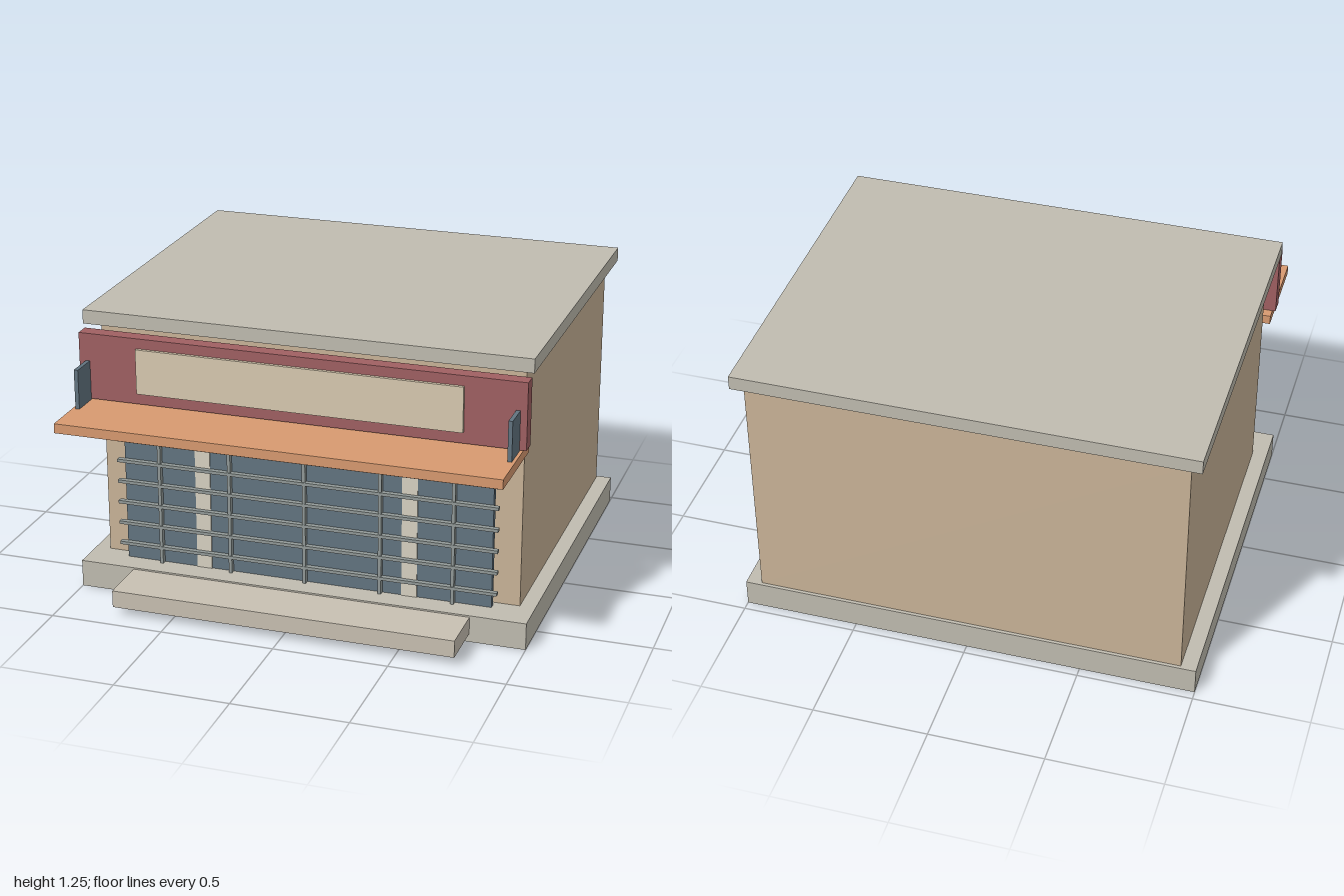
import * as THREE from 'three';

const mat = (color) => new THREE.MeshStandardMaterial({ color });

export function createModel() {
  const model = new THREE.Group();
  const stone = mat(0xc0bcb0), wall = mat(0xcab498), red = mat(0xa06062), cream = mat(0xd8cab0);
  const orange = mat(0xd89a70), slate = mat(0x627480), pale = mat(0xd8d2c2), metal = mat(0x929a98);

  // Box given by its extents along x, y and z
  const box = (name, material, [x0, x1], [y0, y1], [z0, z1]) => {
    const mesh = new THREE.Mesh(new THREE.BoxGeometry(x1 - x0, y1 - y0, z1 - z0), material);
    mesh.position.set((x0 + x1) / 2, (y0 + y1) / 2, (z0 + z1) / 2);
    mesh.name = name;
    model.add(mesh);
  };

  // Building shell
  box('base', stone, [-1, 1], [0, 0.12], [-0.96, 0.682]);
  box('frontStep', mat(0xc8c0b2), [-0.757, 0.757], [0.037, 0.113], [0.6, 0.912]);
  box('walls', wall, [-0.933, 0.933], [0.12, 1.192], [-0.945, 0.525]);
  box('roof', stone, [-0.983, 0.983], [1.192, 1.253], [-0.977, 0.603]);

  // Sign board with blank panel, and the canopy below
  box('signBoard', red, [-0.975, 0.975], [0.882, 1.174], [0.603, 0.668]);
  box('signPanel', cream, [-0.713, 0.713], [0.932, 1.13], [0.65, 0.683]);
  box('canopy', orange, [-0.96, 0.96], [0.836, 0.878], [0.563, 0.978]);

  // Shopfront glazing
  box('glazing', slate, [-0.823, 0.823], [0.12, 0.848], [0.55, 0.577]);

  for (const s of [-1, 1]) {
    const cx = s * 0.937, px = s * 0.463;
    box('canopyBracket', slate, [cx - 0.009, cx + 0.009], [0.876, 1.052], [0.615, 0.792]);
    box('pier', pale, [px - 0.034, px + 0.034], [0.12, 0.882], [0.523, 0.582]);
  }

  // Security grille
  for (const x of [-0.657, -0.337, 0, 0.337, 0.657])
    box('grilleUpright', metal, [x - 0.007, x + 0.007], [0.12, 0.836], [0.577, 0.6]);
  for (let i = 0; i < 7; i++) {
    const y = 0.193 + i * 0.097;
    box('grilleRail', metal, [-0.85, 0.85], [y - 0.007, y + 0.007], [0.58, 0.603]);
  }
  return model;
}
